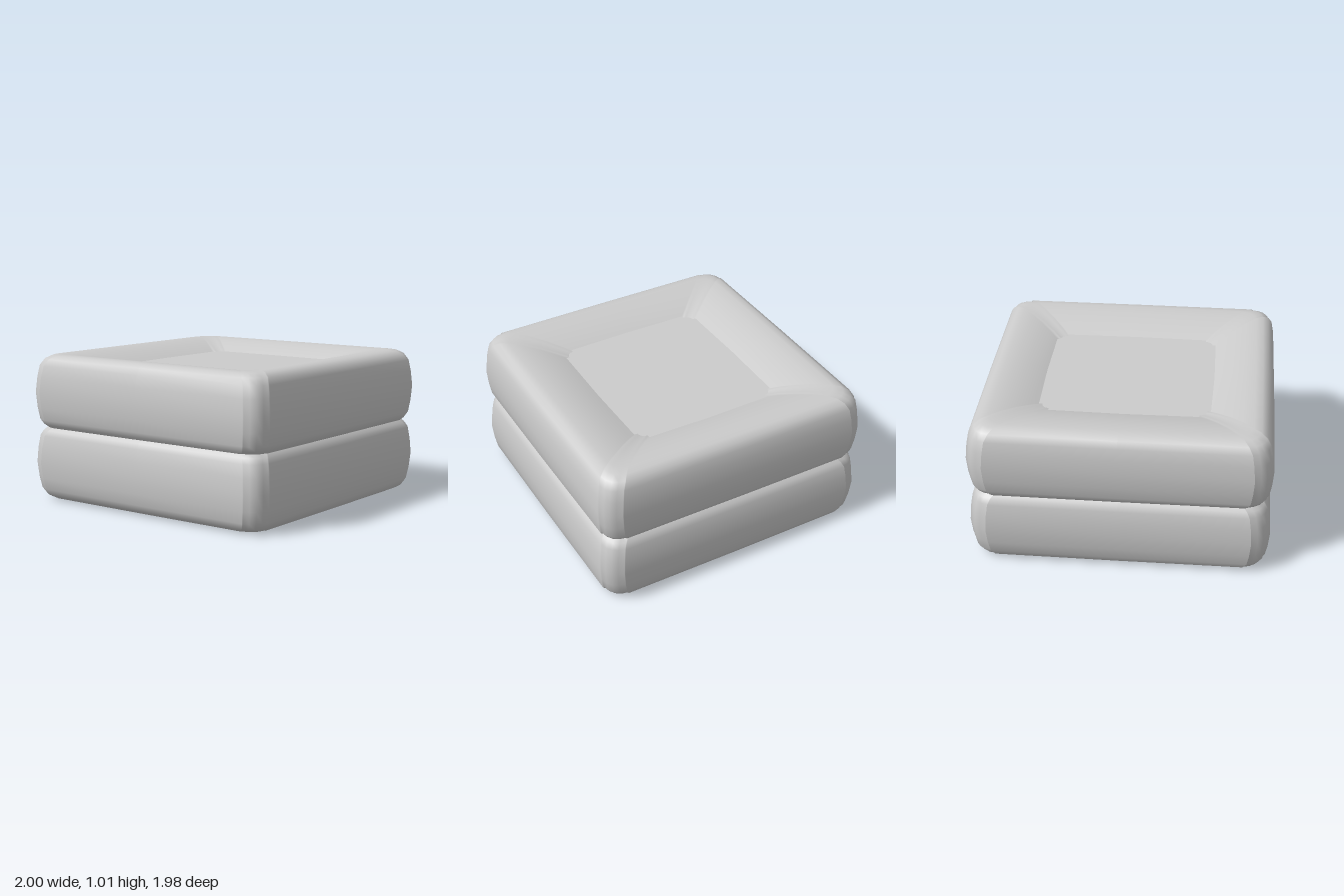
import * as THREE from 'three';

const MID = 0.505; // height of the seam between the two tubes

// Rounded rectangle with slightly bowed sides, as [x, z] points
function outline(a, b, r, bow) {
  const pts = [];
  const ca = a - bow - r, cb = b - bow - r;
  for (let q = 0; q < 4; q++) {
    const sx = q === 0 || q === 3 ? 1 : -1, sz = q < 2 ? 1 : -1;
    for (let k = 0; k <= 4; k++) {
      const t = (q + k / 4) * Math.PI / 2;
      pts.push([sx * ca + r * Math.cos(t), sz * cb + r * Math.sin(t)]);
    }
    // bowed side leading to the next corner
    for (const f of [-0.5, 0, 0.5]) {
      const out = -bow * f * f;
      if (q % 2 === 0) pts.push([-sx * f * 2 * ca, sz * (b + out)]);
      else pts.push([sx * (a + out), -sz * f * 2 * cb]);
    }
  }
  return pts;
}

// Cross-section from the inner lip over the rim to the seam:
// half width, half depth, height above seam, corner radius, bow
const PROFILE = [
  [0.58, 0.53, 0.425, 0.05, 0.03],
  [0.63, 0.59, 0.449, 0.06, 0.025],
  [0.71, 0.68, 0.478, 0.07, 0.02],
  [0.79, 0.77, 0.497, 0.08, 0.015],
  [0.86, 0.85, 0.504, 0.09, 0.012],
  [0.91, 0.90, 0.498, 0.10, 0.012],
  [0.95, 0.94, 0.475, 0.11, 0.012],
  [0.975, 0.965, 0.43, 0.11, 0.012],
  [0.99, 0.98, 0.35, 0.11, 0.014],
  [1.00, 0.99, 0.245, 0.11, 0.015],
  [0.992, 0.982, 0.14, 0.11, 0.014],
  [0.978, 0.968, 0.055, 0.11, 0.012],
  [0.96, 0.95, 0.02, 0.11, 0.012],
  [0.94, 0.93, 0, 0.11, 0.012],
];

function tubeGeometry() {
  const pos = [], index = [];
  let n = 0;
  PROFILE.forEach(([a, b, y, r, bow]) => {
    const ring = outline(a, b, r, bow);
    n = ring.length;
    ring.forEach(([x, z]) => pos.push(x, y, z));
  });
  for (let j = 0; j < PROFILE.length - 1; j++) {
    for (let i = 0; i < n; i++) {
      const p = j * n + i, q = j * n + (i + 1) % n;
      index.push(p, q, p + n, q, q + n, p + n);
    }
  }
  const g = new THREE.BufferGeometry();
  g.setAttribute('position', new THREE.Float32BufferAttribute(pos, 3));
  g.setIndex(index);
  g.computeVertexNormals();
  return g;
}

// Flat sunken panel closing the inner lip
function panelGeometry() {
  const [a, b, y, r, bow] = PROFILE[0];
  const shape = new THREE.Shape(outline(a, b, r, bow).map(([x, z]) => new THREE.Vector2(x, z)));
  return new THREE.ShapeGeometry(shape).rotateX(-Math.PI / 2).translate(0, y, 0);
}

export function createModel() {
  const model = new THREE.Group();
  model.name = 'squareCushion';
  const material = new THREE.MeshStandardMaterial({ color: 0xcccccc, side: THREE.DoubleSide });
  const tube = tubeGeometry(), panel = panelGeometry();

  // The lower half is the upper half turned over
  for (const [name, turn] of [['upper', 0], ['lower', Math.PI]]) {
    const half = new THREE.Group();
    half.name = name + 'Half';
    const rim = new THREE.Mesh(tube, material);
    rim.name = name + 'Tube';
    const centre = new THREE.Mesh(panel, material);
    centre.name = name + 'Panel';
    half.add(rim, centre);
    half.rotation.x = turn;
    half.position.y = MID;
    model.add(half);
  }
  return model;
}
